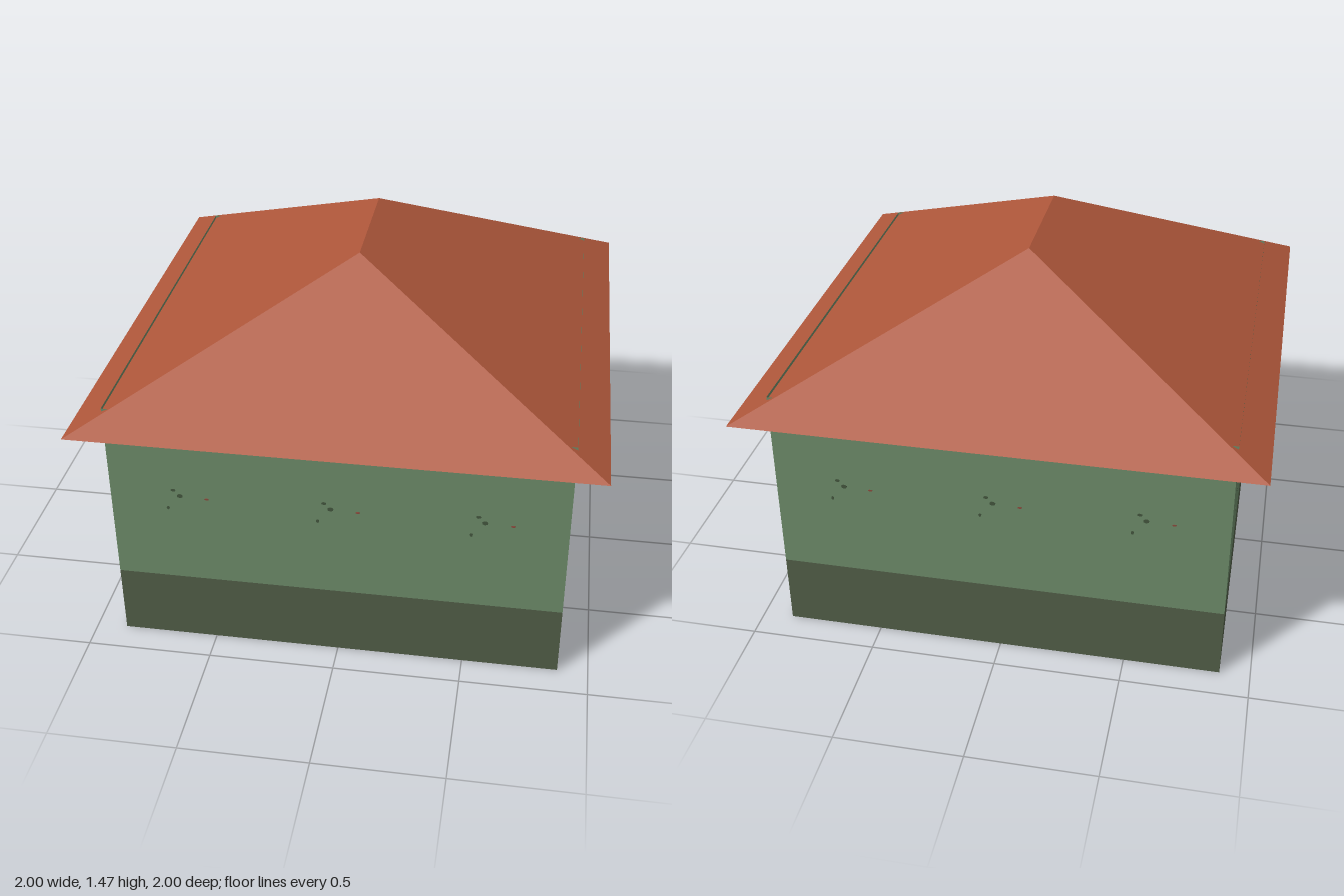
import * as THREE from 'three';

const EAVE = 0.99, RIDGE = 1.47, RIDGE_HALF = 0.265;
const WALL = 0.88, BAND = 0.295, WALL_TOP = 1.06;

function material(name, color, side = THREE.FrontSide) {
  const m = new THREE.MeshStandardMaterial({ color, side });
  m.name = name;
  return m;
}

function addMesh(parent, name, geometry, mat, x = 0, y = 0, z = 0) {
  const mesh = new THREE.Mesh(geometry, mat);
  mesh.name = name;
  mesh.position.set(x, y, z);
  parent.add(mesh);
  return mesh;
}

// One hipped end and one long slope; turned half round they complete the roof
function halfRoofGeometry() {
  const frontLeft = [1, EAVE, 1], frontRight = [-1, EAVE, 1], backLeft = [1, EAVE, -1];
  const ridgeFront = [0, RIDGE, RIDGE_HALF], ridgeBack = [0, RIDGE, -RIDGE_HALF];
  const corners = [
    frontRight, frontLeft, ridgeFront,
    frontLeft, backLeft, ridgeBack,
    frontLeft, ridgeBack, ridgeFront,
  ];
  const g = new THREE.BufferGeometry();
  g.setAttribute('position', new THREE.Float32BufferAttribute(corners.flat(), 3));
  g.computeVertexNormals();
  return g;
}

export function createModel() {
  const model = new THREE.Group();
  model.name = 'hippedRoofHouse';

  const plaster = material('green plaster', 0x6c8b69, THREE.DoubleSide);
  const plinth = material('dark plinth', 0x515d47, THREE.DoubleSide);
  const tiles = material('terracotta roof', 0xad563a, THREE.DoubleSide);
  const stain = material('dark stain', 0x43553d);
  const fleck = material('red fleck', 0x8a4a3c);

  // Roof, open underneath
  const roofGeometry = halfRoofGeometry();
  for (let i = 0; i < 2; i++) {
    addMesh(model, 'roofHalf', roofGeometry, tiles).rotation.y = i * Math.PI;
  }

  // Four thin walls, open at top and bottom, with marks repeated three times
  const upper = new THREE.PlaneGeometry(2 * WALL, WALL_TOP - BAND);
  const lower = new THREE.PlaneGeometry(2 * WALL, BAND);
  const mark = new THREE.CylinderGeometry(1, 1, 0.004, 7).rotateX(Math.PI / 2);
  const marks = [ // x offset, y, half width, half height, material
    [0, 0.69, 0.012, 0.009, stain],
    [-0.025, 0.715, 0.01, 0.006, stain],
    [-0.05, 0.63, 0.006, 0.008, stain],
    [0.105, 0.685, 0.009, 0.004, fleck],
  ];
  for (let side = 0; side < 4; side++) {
    const wall = new THREE.Group();
    wall.name = 'wall';
    wall.rotation.y = side * Math.PI / 2;
    addMesh(wall, 'wallPlaster', upper, plaster, 0, (BAND + WALL_TOP) / 2, WALL);
    addMesh(wall, 'wallPlinth', lower, plinth, 0, BAND / 2, WALL);
    for (const centre of [-0.605, -0.02, 0.565]) {
      for (const [dx, y, w, h, mat] of marks) {
        addMesh(wall, 'wallMark', mark, mat, centre + dx, y, WALL).scale.set(w, h, 1);
      }
    }
    model.add(wall);
  }
  return model;
}
